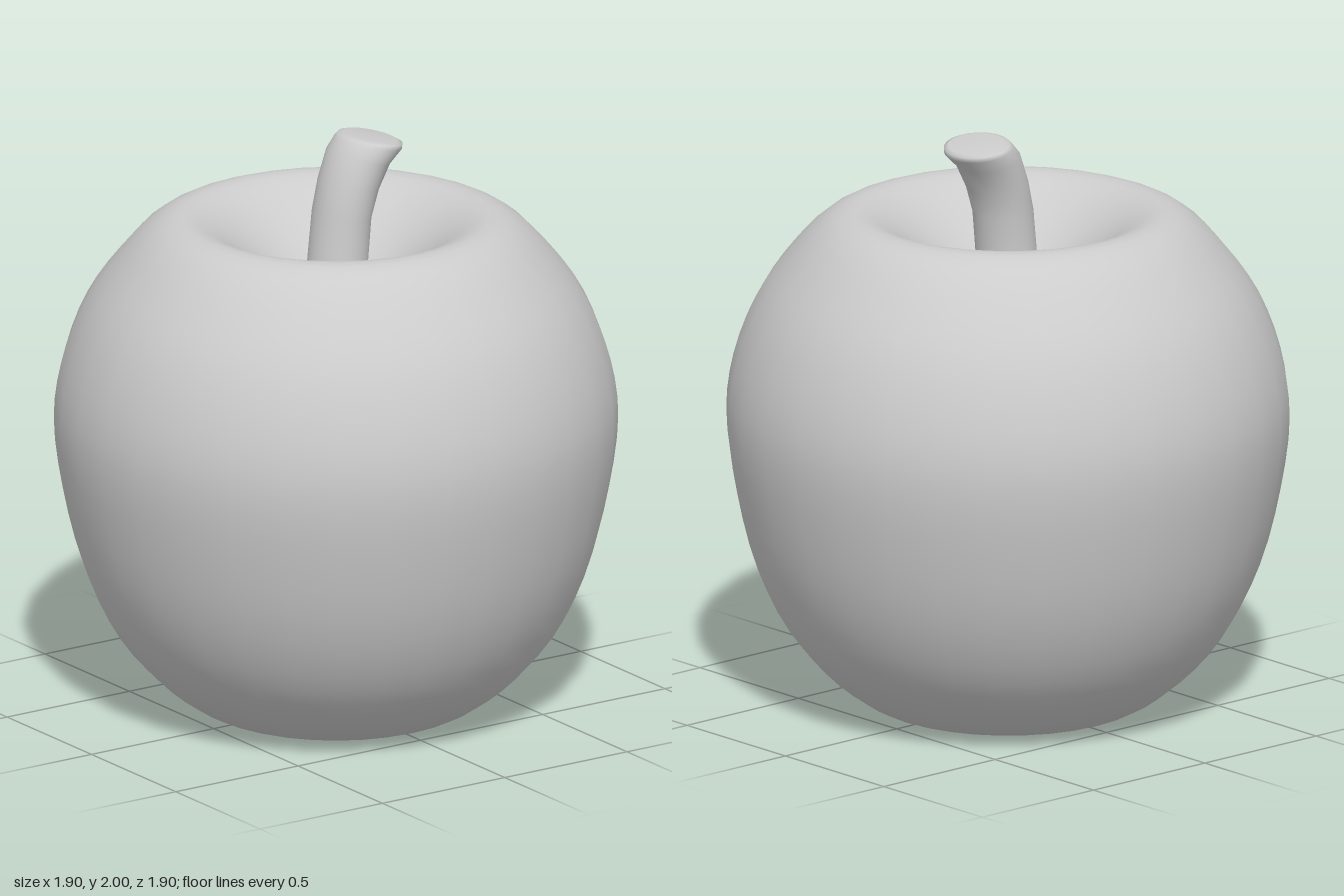
import * as THREE from 'three';
import { mergeVertices } from 'three/addons/utils/BufferGeometryUtils.js';

const SIDES = 32;
const material = new THREE.MeshStandardMaterial({ color: 0xcccccc });

// Weld the seam so that the normals run smoothly all the way round
function smooth(geometry) {
  geometry.deleteAttribute('uv');
  geometry.deleteAttribute('normal');
  const welded = mergeVertices(geometry, 1e-4);
  welded.computeVertexNormals();
  return welded;
}

function addMesh(group, name, geometry) {
  const mesh = new THREE.Mesh(geometry, material);
  mesh.name = name;
  group.add(mesh);
}

// Fruit: one profile from the bottom dimple, round the side, into the top dimple
function fruitGeometry() {
  const profile = [
    [0, 0.27], [0.06, 0.25], [0.14, 0.16], [0.25, 0.06], [0.38, 0.003],
    [0.46, 0.018], [0.6, 0.115], [0.74, 0.275], [0.85, 0.5], [0.92, 0.77],
    [0.95, 1.02], [0.925, 1.21], [0.85, 1.41], [0.74, 1.57], [0.62, 1.69],
    [0.52, 1.725], [0.42, 1.69], [0.3, 1.6], [0.2, 1.51], [0.12, 1.45], [0, 1.43],
  ].map(([r, y]) => new THREE.Vector3(r, y, 0));
  const points = new THREE.CatmullRomCurve3(profile).getPoints(60)
    .map((p) => new THREE.Vector2(Math.max(p.x, 0), p.y));
  points[0].x = points[60].x = 0;
  return smooth(new THREE.LatheGeometry(points, SIDES));
}

// Stem: rings that lean and widen towards +x, closed by a gently rounded cap
function stemGeometry() {
  // centre x, centre y, radius along x, radius along z, lean
  const rings = [
    [-0.005, 1.42, 0.145, 0.145, 0],
    [-0.003, 1.47, 0.115, 0.12, 0.02],
    [0.005, 1.55, 0.1, 0.108, 0.04],
    [0.023, 1.73, 0.097, 0.11, 0.1],
    [0.05, 1.83, 0.098, 0.116, 0.18],
    [0.09, 1.92, 0.102, 0.123, 0.25],
    [0.132, 1.963, 0.108, 0.129, 0.2],
    [0.14, 1.977, 0.102, 0.124, 0.18],
    [0.142, 1.983, 0.085, 0.106, 0.18],
    [0.142, 1.985, 0, 0, 0.18],
  ];
  const unit = rings.map((ring, i) => new THREE.Vector2(ring[2] ? 1 : 0, i));
  const geometry = new THREE.LatheGeometry(unit, SIDES);
  const pos = geometry.attributes.position;
  for (let i = 0; i < pos.count; i++) {
    const [cx, cy, rx, rz, lean] = rings[Math.round(pos.getY(i))];
    const x = pos.getX(i) * rx;
    pos.setXYZ(i, cx + x * Math.cos(lean), cy - x * Math.sin(lean), pos.getZ(i) * rz);
  }
  return smooth(geometry);
}

export function createModel() {
  const group = new THREE.Group();
  group.name = 'apple';
  addMesh(group, 'fruit', fruitGeometry());
  addMesh(group, 'stem', stemGeometry());
  return group;
}
